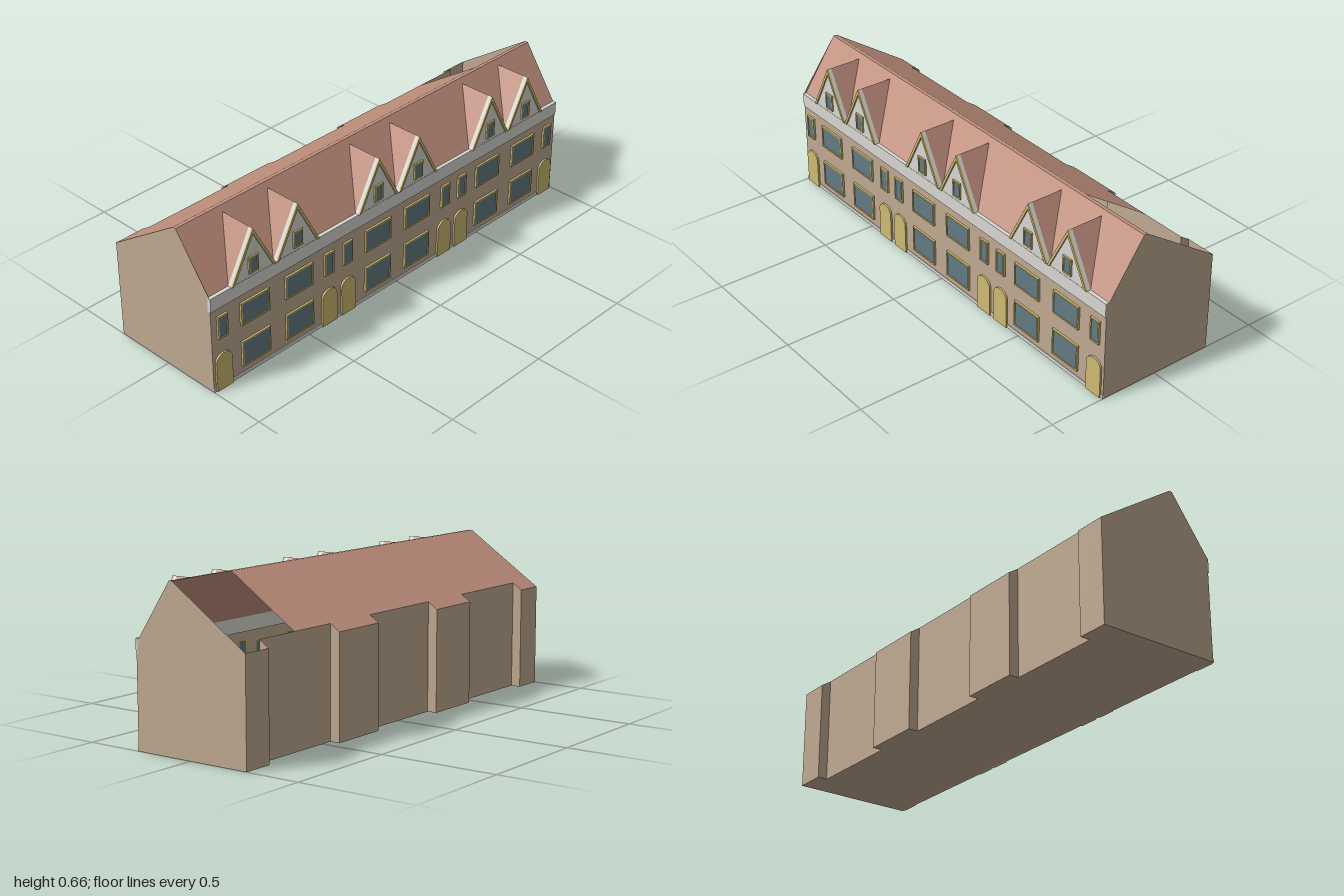
import * as THREE from 'three';

const mat = (name, color, side = THREE.FrontSide) => {
  const m = new THREE.MeshStandardMaterial({ color, side });
  m.name = name;
  return m;
};

// Key positions of the terrace cross-section
const EAVE = 0.43, RIDGE = 0.658, FRONT = 0.257, ROOF_FRONT = 0.245;
const RIDGE_F = 0.09, RIDGE_B = 0.075, BACK = -0.267, RECESS = -0.225;
const ROOF_GAP = 0.67; // the rear slope is open beyond this x
const backRoofY = z => RIDGE + (z - RIDGE_B) * (RIDGE - EAVE) / (RIDGE_B - BACK);

// Rear bays: start x, end x, wall z
const BAYS = [
  [-1, -0.87, BACK], [-0.87, -0.46, RECESS], [-0.46, -0.21, BACK], [-0.21, 0.195, RECESS],
  [0.195, 0.45, BACK], [0.45, 0.87, RECESS], [0.87, 1, BACK],
];

// Flat convex polygons, corners counter-clockwise from outside
function sheet(name, material, polys) {
  const pos = [];
  for (const p of polys)
    for (let i = 1; i < p.length - 1; i++) pos.push(...p[0], ...p[i], ...p[i + 1]);
  const g = new THREE.BufferGeometry();
  g.setAttribute('position', new THREE.Float32BufferAttribute(pos, 3));
  g.computeVertexNormals();
  const m = new THREE.Mesh(g, material);
  m.name = name;
  return m;
}

const polygon = pts => new THREE.Shape(pts.map(p => new THREE.Vector2(...p)));
const rect = (w, h) => [[-w / 2, 0], [w / 2, 0], [w / 2, h], [-w / 2, h]];

// Upright plate extruded towards the front
function plate(name, material, shape, x, y, z, depth) {
  const g = new THREE.ExtrudeGeometry(shape, { depth, bevelEnabled: false, curveSegments: 8 });
  const m = new THREE.Mesh(g, material);
  m.name = name;
  m.position.set(x, y, z);
  return m;
}

export function createModel() {
  const group = new THREE.Group();
  group.name = 'terrace';
  const wall = mat('tan wall', 0xbfa992, THREE.DoubleSide);
  const roof = mat('clay roof', 0xc0907e, THREE.DoubleSide);
  const white = mat('off white', 0xd8d7d2);
  const yellow = mat('yellow joinery', 0xcdba72);
  const glass = mat('blue grey glass', 0x627a82);
  const add = (...meshes) => group.add(...meshes);

  // Front wall
  add(sheet('frontWall', wall, [[[-1, 0, FRONT], [1, 0, FRONT], [1, EAVE, FRONT], [-1, EAVE, FRONT]]]));

  // Gable ends
  const profile = [[FRONT, 0], [BACK, 0], [BACK, EAVE], [RIDGE_B, RIDGE], [RIDGE_F, RIDGE], [ROOF_FRONT, EAVE], [FRONT, EAVE]];
  const gable = x => profile.map(([z, y]) => [x, y, z]);
  add(sheet('leftGable', wall, [gable(1)]), sheet('rightGable', wall, [gable(-1).reverse()]));

  // Stepped rear walls, floor and rear roof slope, bay by bay
  const rear = [], floor = [], slopes = [];
  BAYS.forEach(([a, b, z], i) => {
    const y = backRoofY(z);
    rear.push([[b, 0, z], [a, 0, z], [a, y, z], [b, y, z]]);
    floor.push([[a, 0, z], [b, 0, z], [b, 0, FRONT], [a, 0, FRONT]]);
    const e = Math.min(b, ROOF_GAP);
    if (e > a) slopes.push([[e, y, z], [a, y, z], [a, RIDGE, RIDGE_B], [e, RIDGE, RIDGE_B]]);
    if (i < BAYS.length - 1) {
      const yr = backRoofY(RECESS);
      const step = [[b, 0, RECESS], [b, 0, BACK], [b, EAVE, BACK], [b, yr, RECESS]];
      rear.push(z === BACK ? step : step.reverse());
    }
  });
  add(sheet('rearWalls', wall, rear), sheet('floor', wall, floor), sheet('rearRoof', roof, slopes));

  // Front slope and narrow flat ridge
  add(sheet('frontRoof', roof, [
    [[-1, EAVE, ROOF_FRONT], [1, EAVE, ROOF_FRONT], [1, RIDGE, RIDGE_F], [-1, RIDGE, RIDGE_F]],
    [[-1, RIDGE, RIDGE_F], [1, RIDGE, RIDGE_F], [1, RIDGE, RIDGE_B], [-1, RIDGE, RIDGE_B]],
  ]));

  // Cornice and plinth
  add(plate('cornice', white, polygon(rect(2, 0.06)), 0, 0.37, ROOF_FRONT, 0.016));
  add(plate('plinth', white, polygon(rect(2, 0.016)), 0, 0, 0.252, 0.008));

  // Framed window standing on y
  const addWindow = (x, y, w, h, z) => {
    const t = 0.006;
    const frame = polygon(rect(w, h));
    frame.holes.push(polygon(rect(w - 2 * t, h - 2 * t).map(([u, v]) => [u, v + t])));
    add(plate('windowFrame', yellow, frame, x, y, z, 0.009));
    add(plate('windowGlass', glass, polygon(rect(w - t, h - t)), x, y + t / 2, z, 0.006));
  };

  // Arched door leaf
  const door = new THREE.Shape();
  door.moveTo(-0.04, 0);
  door.lineTo(0.04, 0);
  door.lineTo(0.04, 0.13);
  door.absellipse(0, 0.13, 0.04, 0.035, 0, Math.PI, false);
  door.closePath();

  // Triangular dormer front with sloping barge boards
  const W = 0.112, H = 0.208, T = 0.016;
  const triangle = polygon([[-W, 0], [W, 0], [0, H]]);
  const boards = polygon([[-W, 0], [-W + T * 0.75, 0], [0, H - T * 1.4], [W - T * 0.75, 0], [W, 0], [0, H]]);
  const meetZ = ROOF_FRONT - (H / (RIDGE - EAVE)) * (ROOF_FRONT - RIDGE_F);

  for (const s of [-1, 1]) {
    // Large windows on both floors, with a dormer above each
    for (const [wx, dx] of [[0.115, 0.115], [0.552, 0.557], [0.783, 0.785]]) {
      addWindow(s * wx, 0.044, 0.146, 0.116, FRONT);
      addWindow(s * wx, 0.234, 0.146, 0.102, FRONT);
      const x = s * dx, top = EAVE + H;
      const peak = [x, top, ROOF_FRONT], back = [x, top, meetZ];
      add(plate('dormerFront', white, triangle, x, EAVE, ROOF_FRONT, 0.015));
      add(plate('bargeBoards', yellow, boards, x, EAVE, 0.26, 0.007));
      add(sheet('dormerRoof', roof, [
        [[x + W, EAVE, ROOF_FRONT], back, peak],
        [[x - W, EAVE, ROOF_FRONT], peak, back],
      ]));
      addWindow(x, 0.447, 0.048, 0.073, 0.258);
    }
    // Doors, with a narrow window above each
    for (const [doorX, winX] of [[0.285, 0.287], [0.39, 0.39], [0.948, 0.947]]) {
      add(plate('door', yellow, door, s * doorX, 0, FRONT, 0.008));
      addWindow(s * winX, 0.234, 0.05, 0.102, FRONT);
    }
  }
  return group;
}
